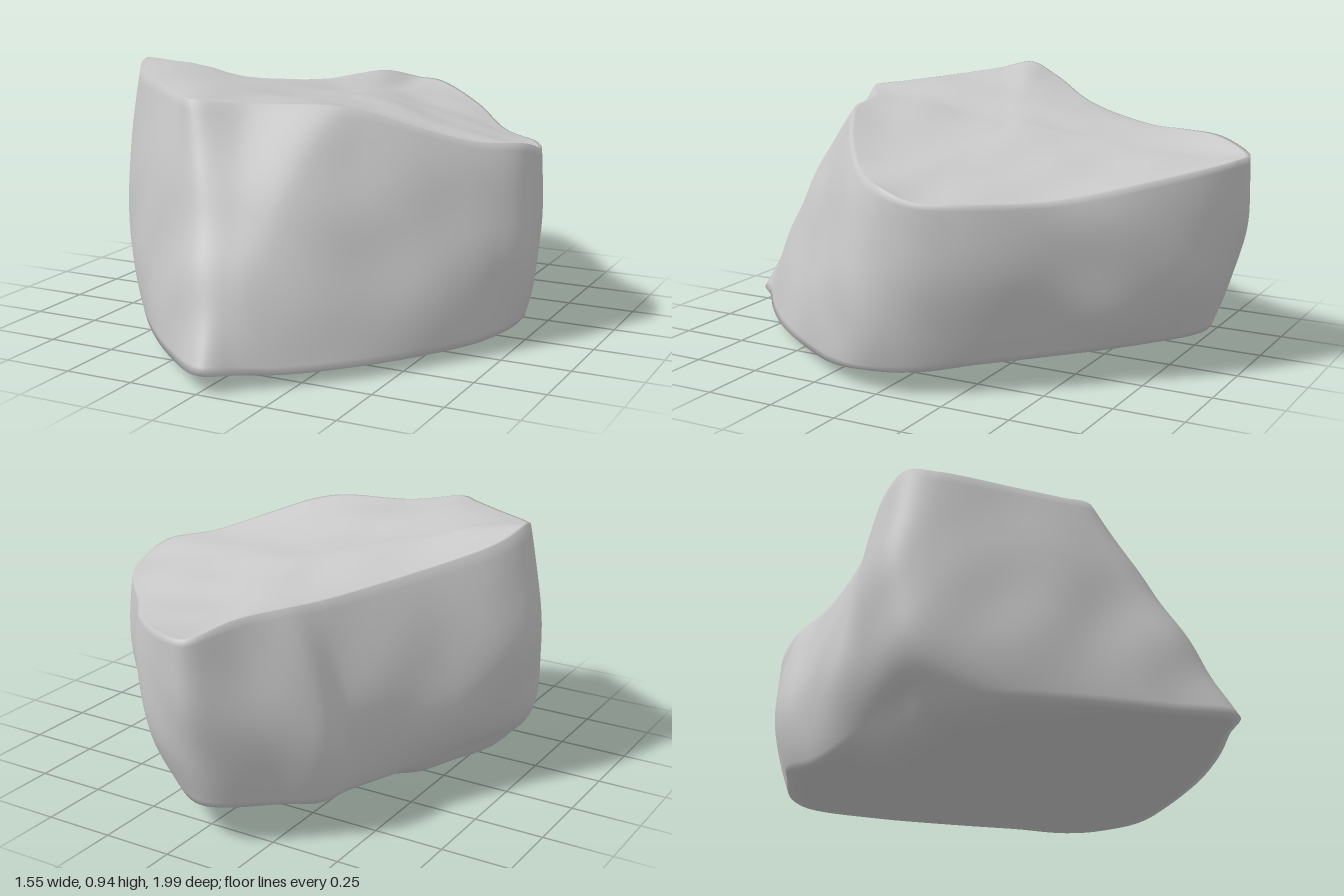
import * as THREE from 'three';

// Corner stations run counter-clockwise seen from above, starting at the front ridge.
const BASE = [
  [0.01, 0.07, 0.995], [0.1, 0.06, 0.91], [0.22, 0.05, 0.81], [0.4, 0.05, 0.63], [0.58, 0.05, 0.38], [0.68, 0.06, 0.22],
  [0.735, 0.08, 0.06], [0.715, 0.09, -0.1], [0.6, 0.11, -0.28], [0.4, 0.12, -0.5], [0.2, 0.13, -0.7], [-0.02, 0.14, -0.86],
  [-0.12, 0.15, -0.86], [-0.27, 0.15, -0.74], [-0.37, 0.14, -0.64], [-0.39, 0.13, -0.5], [-0.5, 0.13, -0.2], [-0.6, 0.14, 0.06],
  [-0.66, 0.14, 0.22], [-0.58, 0.09, 0.42], [-0.4, 0.07, 0.65], [-0.18, 0.06, 0.86]];
const MIDDLE = [
  [-0.1, 0.45, 0.81], [0.02, 0.45, 0.785], [0.13, 0.43, 0.745], [0.35, 0.43, 0.54], [0.56, 0.42, 0.34], [0.69, 0.4, 0.19],
  [0.768, 0.36, 0.05], [0.755, 0.4, -0.12], [0.67, 0.4, -0.3], [0.48, 0.4, -0.52], [0.28, 0.4, -0.75], [0, 0.45, -0.95],
  [-0.11, 0.45, -0.96], [-0.27, 0.45, -0.81], [-0.4, 0.45, -0.68], [-0.42, 0.42, -0.53], [-0.59, 0.42, -0.22], [-0.73, 0.42, 0.01],
  [-0.77, 0.42, 0.17], [-0.71, 0.42, 0.31], [-0.46, 0.44, 0.57], [-0.24, 0.45, 0.74]];
const RIM = [
  [-0.24, 0.885, 0.61], [-0.07, 0.87, 0.51], [0.2, 0.87, 0.425], [0.3, 0.85, 0.37], [0.43, 0.8, 0.29], [0.6, 0.735, 0.15],
  [0.73, 0.715, 0], [0.74, 0.675, -0.14], [0.67, 0.67, -0.29], [0.47, 0.665, -0.51], [0.26, 0.715, -0.76], [0, 0.765, -0.975],
  [-0.09, 0.77, -0.985], [-0.18, 0.81, -0.85], [-0.25, 0.81, -0.69], [-0.31, 0.805, -0.54], [-0.48, 0.84, -0.22], [-0.67, 0.91, 0.03],
  [-0.71, 0.95, 0.16], [-0.67, 0.925, 0.27], [-0.46, 0.9, 0.45], [-0.33, 0.89, 0.55]];

const AROUND = 176, SIDE_ROWS = 28;
const { smoothstep, lerp } = THREE.MathUtils;

const loop = (points) => new THREE.CatmullRomCurve3(points.map((p) => new THREE.Vector3(...p)), true);

// Gentle weathering: waves in evenly spread directions
const WAVES = Array.from({ length: 14 }, (_, i) => {
  const y = 1 - (2 * i + 1) / 14, r = Math.sqrt(1 - y * y), a = 2.4 * i;
  return new THREE.Vector3(r * Math.cos(a), y, r * Math.sin(a)).multiplyScalar(8 + (i * 5) % 14);
});
const bump = (p) => WAVES.reduce((sum, w, i) => sum + 0.0028 * Math.sin(w.dot(p) + 1.7 * i), 0);

// Quadratic through three points at t = 0, 0.5 and 1
function through(a, b, c, t) {
  return new THREE.Vector3()
    .addScaledVector(a, (1 - t) * (1 - 2 * t))
    .addScaledVector(b, 4 * t * (1 - t))
    .addScaledVector(c, t * (2 * t - 1));
}

function rockGeometry() {
  const base = loop(BASE), middle = loop(MIDDLE), rim = loop(RIM);
  const bottomCentre = new THREE.Vector3(0.03, 0, 0.1);
  const topCentre = new THREE.Vector3(0, 0, -0.1);
  const rows = [];
  const addRow = (pointAt) => rows.push(Array.from({ length: AROUND }, (_, i) => pointAt(i / AROUND)));

  // Underside: a slanting step, then a rise towards the back
  for (const s of [0, 0.08, 0.16, 0.24, 0.32, 0.4, 0.5, 0.6, 0.7, 0.78, 0.85, 0.91, 0.96]) {
    addRow((u) => {
      const edge = base.getPoint(u);
      const p = bottomCentre.clone().lerp(edge, s);
      const floor = 0.012 + 0.04 * smoothstep(0.5 * p.x - 0.83 * p.z, -0.2, 0)
        + 0.05 * smoothstep(-p.z, 0.1, 0.45) + 0.02 * smoothstep(p.z, 0.3, 0.9);
      p.y = lerp(floor, edge.y, s ** 8) + 0.4 * bump(p) * (1 - s ** 8);
      return p;
    });
  }
  // Broken side faces
  for (let j = 0; j <= SIDE_ROWS; j++) {
    const t = j / SIDE_ROWS;
    addRow((u) => {
      const p = through(base.getPoint(u), middle.getPoint(u), rim.getPoint(u), t);
      const k = 1 + 1.2 * bump(p) * Math.sin(Math.PI * t);
      p.x *= k;
      p.z *= k;
      return p;
    });
  }
  // Tilted top, nearly flat inside its rim
  for (const s of [0.98, 0.94, 0.88, 0.8, 0.7, 0.6, 0.5, 0.4, 0.3, 0.2, 0.1, 0]) {
    addRow((u) => {
      const edge = rim.getPoint(u);
      const p = topCentre.clone().lerp(edge, s);
      const plane = 0.815 - 0.15 * p.x + 0.085 * p.z;
      p.y = lerp(plane, edge.y, s ** 3) + 0.7 * bump(p) * (1 - s ** 8);
      return p;
    });
  }

  const index = [];
  for (let j = 0; j < rows.length - 1; j++) {
    for (let i = 0; i < AROUND; i++) {
      const n = (i + 1) % AROUND;
      const a = j * AROUND + i, b = j * AROUND + n, c = b + AROUND, d = a + AROUND;
      if (j > 0) index.push(a, b, c);
      if (j < rows.length - 2) index.push(a, c, d);
    }
  }
  const geometry = new THREE.BufferGeometry().setFromPoints(rows.flat());
  geometry.setIndex(index);
  geometry.computeVertexNormals();
  return geometry;
}

export function createModel() {
  const stone = new THREE.MeshStandardMaterial({ color: 0xc8c8c8 });
  stone.name = 'grey stone';
  const rock = new THREE.Mesh(rockGeometry(), stone);
  rock.name = 'rock';
  const group = new THREE.Group();
  group.name = 'boulder';
  group.add(rock);
  return group;
}
